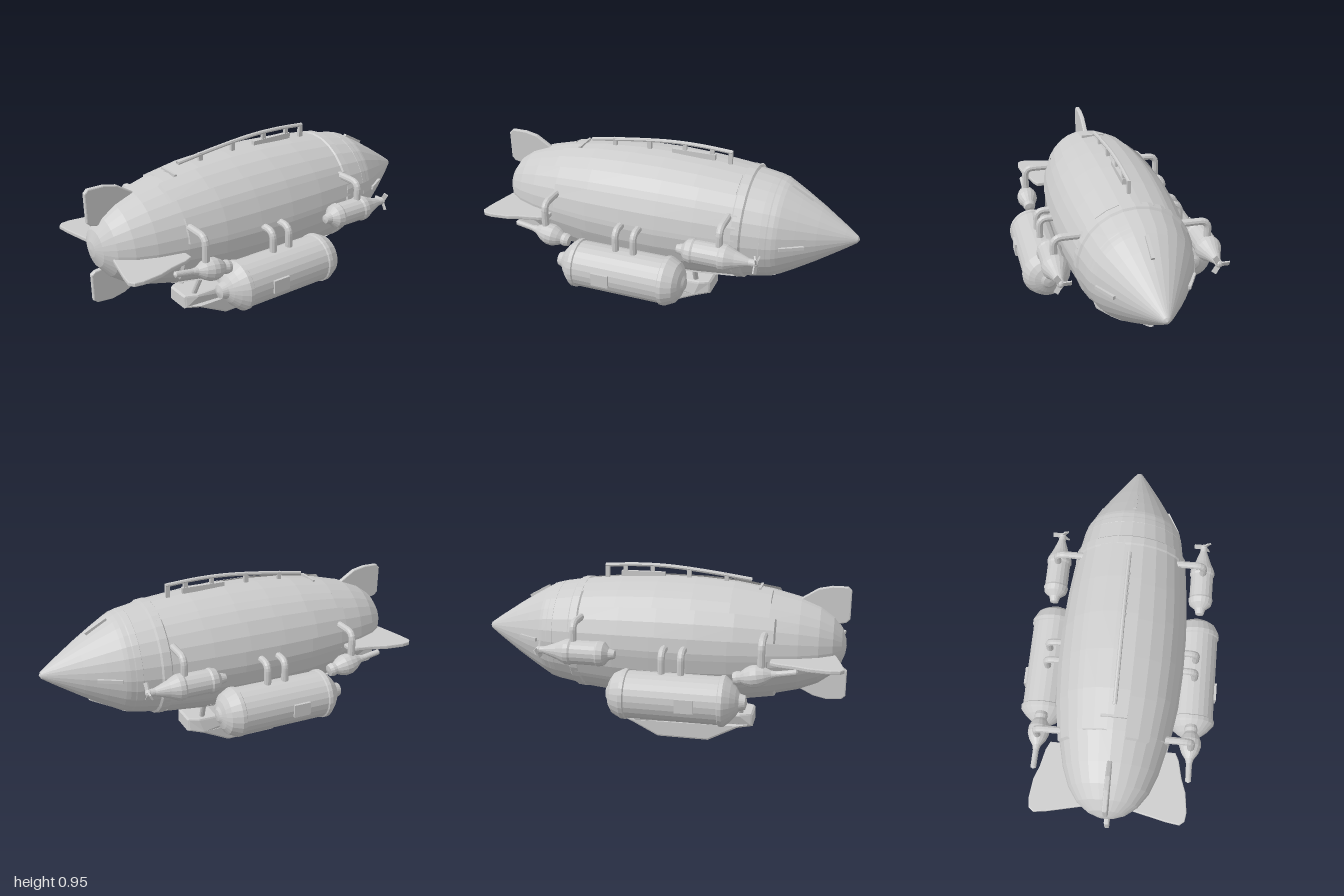
import * as THREE from 'three';

const CY = 0.555; // height of the hull axis
const mat = new THREE.MeshStandardMaterial({ color: 0xcccccc, flatShading: true, side: THREE.DoubleSide });
const V = (x, y, z) => new THREE.Vector3(x, y, z);

function add(parent, name, geo, x = 0, y = 0, z = 0) {
  const m = new THREE.Mesh(geo, mat);
  m.name = name;
  m.position.set(x, y, z);
  parent.add(m);
  return m;
}

// Body of revolution along z from [radius, z] pairs, z rising
function turned(pts, seg = 20, start = 0, sweep = Math.PI * 2) {
  const p = pts.map(([r, z]) => new THREE.Vector2(r, z));
  return new THREE.LatheGeometry(p, seg, start, sweep).rotateX(Math.PI / 2);
}

function rod(a, b, r) {
  return new THREE.TubeGeometry(new THREE.LineCurve3(a, b), 1, r, 10);
}

// Pipe leaving the hull sideways, then bending down
function elbow(s, xIn, x, yTop, yEnd, z, r = 0.019) {
  const b = 0.045, path = new THREE.CurvePath();
  const p1 = V(s * (x - b), yTop, z), p2 = V(s * x, yTop - b, z);
  path.add(new THREE.LineCurve3(V(s * xIn, yTop, z), p1));
  path.add(new THREE.QuadraticBezierCurve3(p1, V(s * x, yTop, z), p2));
  path.add(new THREE.LineCurve3(p2, V(s * x, yEnd, z)));
  return new THREE.TubeGeometry(path, 20, r, 10);
}

// Bevelled plate from an outline, centred on its thickness
function plate(pts, depth, bevel) {
  const shape = new THREE.Shape(pts.map(([a, b]) => new THREE.Vector2(a, b)));
  const d = depth - 2 * bevel;
  return new THREE.ExtrudeGeometry(shape, {
    depth: d, bevelEnabled: true, bevelThickness: bevel, bevelSize: bevel, bevelOffset: -bevel, bevelSegments: 2,
  }).translate(0, 0, -d / 2);
}

export function createModel() {
  const g = new THREE.Group();
  g.name = 'airship';

  // Hull with a separate pointed nose cap
  const hull = [[0.262, -0.6], [0.276, -0.54], [0.297, -0.42], [0.319, -0.2], [0.329, 0], [0.327, 0.2], [0.314, 0.4],
    [0.282, 0.6], [0.245, 0.75], [0.205, 0.85], [0.155, 0.92], [0.095, 0.965], [0.04, 0.985], [0, 0.99]];
  add(g, 'hull', turned(hull, 28), 0, CY, 0);
  add(g, 'noseCap', turned([[0, -1], [0.018, -0.99], [0.06, -0.93], [0.145, -0.8], [0.205, -0.7], [0.25, -0.62],
    [0.27, -0.57], [0.277, -0.54], [0.27, -0.53]], 28), 0, CY, 0);
  add(g, 'hullBand', turned([[0.29, -0.45], [0.303, -0.44], [0.307, -0.4], [0.297, -0.39]], 28), 0, CY, 0);

  // Raised long panels around the hull
  for (let i = 0; i < 8; i++) {
    const skin = hull.slice(2, 8).map(([r, z]) => [r + 0.007, z + (i % 2) * 0.03]);
    skin.unshift([skin[0][0] - 0.02, skin[0][1]]);
    skin.push([skin[6][0] - 0.02, skin[6][1] + 0.01]);
    add(g, 'hullPanel', turned(skin, 2, i * Math.PI / 4 + 0.1, Math.PI / 7), 0, CY, 0);
  }

  // Small ribs on the nose and a bar near the tail
  for (let i = 0; i < 4; i++) {
    const rib = new THREE.Group();
    rib.name = 'noseRib';
    rib.position.y = CY;
    rib.rotation.z = i * Math.PI / 2;
    add(rib, 'rib', new THREE.BoxGeometry(0.018, 0.025, 0.13), 0, 0.21, -0.69).rotation.x = -0.5;
    g.add(rib);
  }
  add(g, 'tailBar', new THREE.BoxGeometry(0.13, 0.02, 0.012), 0, CY + 0.292, 0.535);

  // Upper and lower tail fins, drawn in (-z, y)
  const turn = Math.PI / 2;
  add(g, 'topFin', plate([[-0.7, 0.77], [-0.76, 0.81], [-0.83, 0.855], [-0.9, 0.87], [-0.98, 0.87], [-1, 0.85],
    [-1, 0.7], [-0.98, 0.68], [-0.88, 0.66]], 0.026, 0.006).rotateY(turn));
  add(g, 'bottomFin', plate([[-0.7, 0.36], [-0.88, 0.45], [-0.98, 0.435], [-1, 0.42], [-1, 0.28], [-0.98, 0.262],
    [-0.9, 0.255], [-0.83, 0.27], [-0.76, 0.305]], 0.026, 0.006).rotateY(turn));

  // Rail on top of the hull
  const ridge = new THREE.CatmullRomCurve3([V(0, 0.885, 0.485), V(0, 0.917, 0.25), V(0, 0.938, 0.03),
    V(0, 0.94, -0.14), V(0, 0.93, -0.31)]);
  add(g, 'topRail', new THREE.TubeGeometry(ridge, 20, 0.011, 8));
  for (const z of [-0.3, -0.2, -0.05, 0.15, 0.35]) {
    add(g, 'railPost', new THREE.BoxGeometry(0.018, 0.07, 0.022), 0, z > 0.2 ? 0.877 : 0.9, z);
  }
  add(g, 'railBase', new THREE.BoxGeometry(0.025, 0.03, 0.24), 0, 0.89, -0.1);

  // Gondola: side outline extruded across, ends narrowed in plan
  const gondola = plate([[-0.52, 0.155], [-0.51, 0.165], [-0.45, 0.165], [-0.29, 0.165], [-0.2, 0.13], [-0.02, 0.13],
    [0.07, 0.165], [0.17, 0.165], [0.22, 0.165], [0.23, 0.155], [0.23, 0.09], [0.15, 0.075], [0, 0], [-0.28, 0],
    [-0.44, 0.085], [-0.52, 0.09]], 0.22, 0.012).rotateY(turn);
  const pos = gondola.attributes.position;
  for (let i = 0; i < pos.count; i++) {
    const over = Math.max(0, Math.abs(pos.getZ(i) - 0.145) - 0.31);
    pos.setX(i, pos.getX(i) * (1 - over * 5) * (pos.getY(i) > 0.14 ? 0.92 : 1));
  }
  gondola.computeVertexNormals();
  add(g, 'gondola', gondola);

  for (const s of [1, -1]) {
    const side = new THREE.Group();
    side.name = s > 0 ? 'leftSide' : 'rightSide';
    g.add(side);

    // Gondola struts
    for (const z of [0.455, -0.14]) {
      add(side, 'gondolaStrut', rod(V(s * 0.058, 0.15, z), V(s * 0.115, 0.27, z - 0.01), 0.015));
    }

    // Horizontal tail fin, drawn in (x, z)
    add(side, 'sideFin', plate([[0.2, 0.62], [0.325, 0.62], [0.345, 0.66], [0.365, 0.75], [0.39, 0.82], [0.402, 0.92],
      [0.395, 0.965], [0.37, 0.985], [0.3, 0.975], [0.1, 0.93]].map(([x, z]) => [s * x, z]), 0.022, 0.005)
      .rotateX(turn), 0, 0.53, 0);

    // Large tank with end flanges and outer hatch
    add(side, 'tank', turned([[0, -0.205], [0.03, -0.2], [0.045, -0.19], [0.075, -0.18], [0.105, -0.16], [0.125, -0.12],
      [0.13, -0.11], [0.13, -0.09], [0.123, -0.085], [0.123, 0.385], [0.13, 0.39], [0.13, 0.41], [0.122, 0.42],
      [0.1, 0.445], [0.07, 0.47], [0.045, 0.485], [0.035, 0.515], [0, 0.525]], 24), s * 0.4, 0.345, 0);
    add(side, 'tankHatch', new THREE.BoxGeometry(0.03, 0.07, 0.095), s * 0.516, 0.345, 0.225);
    for (const z of [0.185, 0.085]) add(side, 'tankPipe', elbow(s, 0.27, 0.4, 0.575, 0.44, z));

    // Forward engine, tapering to a small fan
    const front = new THREE.Group();
    front.name = 'forwardEngine';
    front.position.set(s * 0.4, 0.55, 0);
    side.add(front);
    add(front, 'engineBody', turned([[0.018, -0.56], [0.02, -0.53], [0.045, -0.46], [0.066, -0.415], [0.068, -0.39],
      [0.062, -0.38], [0.062, -0.25], [0.067, -0.24], [0.06, -0.21], [0.03, -0.185], [0.022, -0.155], [0, -0.15]], 18));
    add(front, 'fanHub', new THREE.SphereGeometry(0.02, 10, 8), 0, 0, -0.56);
    for (let i = 0; i < 3; i++) {
      const blade = add(front, 'fanBlade', new THREE.BoxGeometry(0.026, 0.05, 0.008).translate(0, 0.028, 0), 0, 0, -0.565);
      blade.rotation.set(0, 0.4, turn + i * Math.PI * 2 / 3, 'ZYX');
    }
    add(side, 'forwardEnginePipe', elbow(s, 0.22, 0.4, 0.7, 0.58, -0.375));

    // Rear engine, pitched up, with a slim tail rod
    const rear = new THREE.Group();
    rear.name = 'rearEngine';
    rear.position.set(s * 0.4, 0.485, 0.555);
    rear.rotation.x = -0.17;
    side.add(rear);
    add(rear, 'engineBody', turned([[0, -0.11], [0.03, -0.105], [0.036, -0.085], [0.032, -0.065], [0.045, -0.045],
      [0.057, -0.015], [0.057, 0.015], [0.045, 0.05], [0.022, 0.085], [0.016, 0.11], [0.015, 0.205], [0, 0.215]], 16));
    add(side, 'rearEnginePipe', elbow(s, 0.22, 0.4, 0.66, 0.49, 0.585));
  }
  return g;
}
